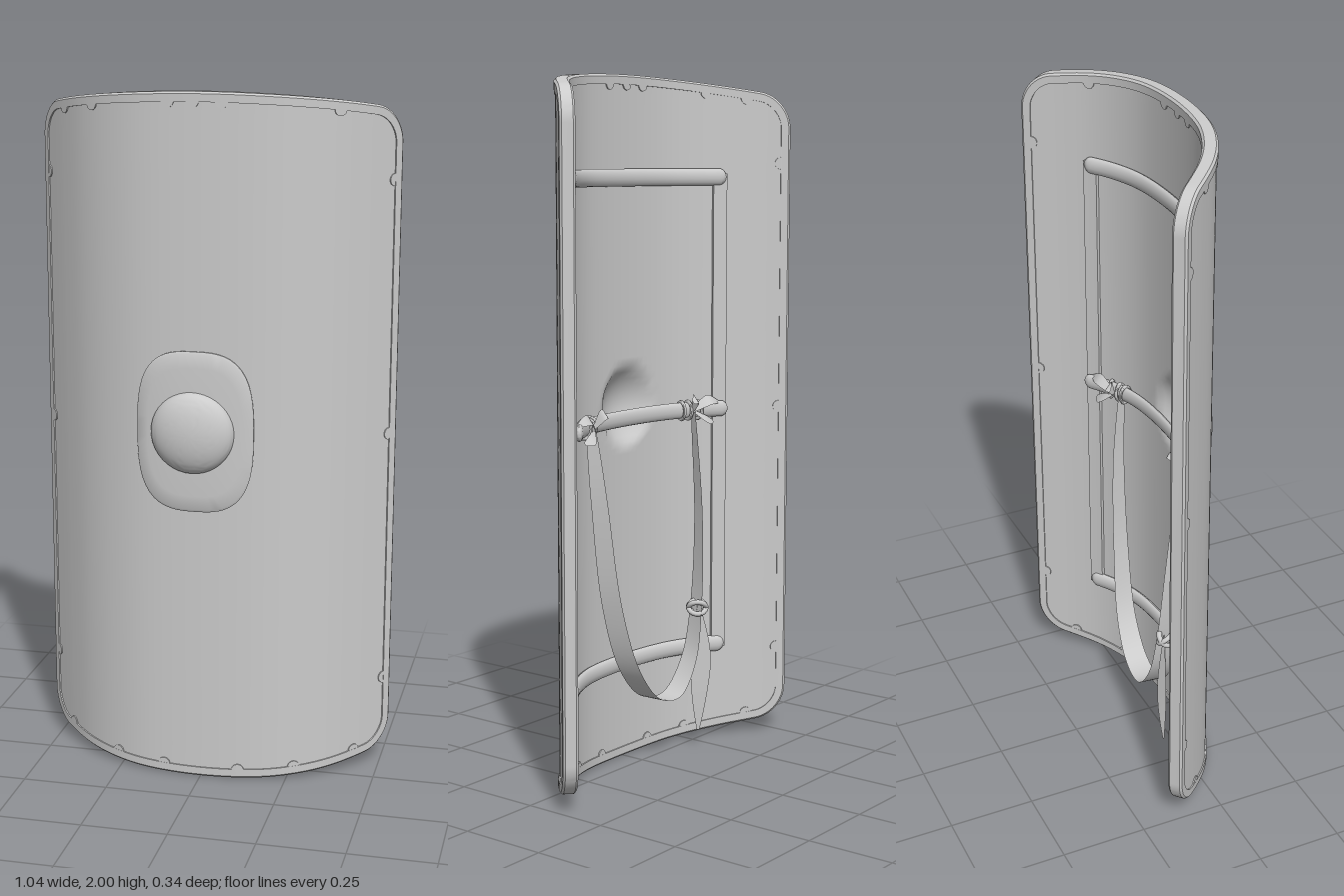
import * as THREE from 'three';
import { toCreasedNormals } from 'three/addons/utils/BufferGeometryUtils.js';

const V = (x, y, z) => new THREE.Vector3(x, y, z);

// Horizontal section of the curved board; s runs along it, d is the offset toward the front
const half = [[0.17, 0.076], [0.27, 0.043], [0.35, -0.003], [0.42, -0.063], [0.511, -0.158]];
const section = new THREE.CatmullRomCurve3([
  ...half.slice().reverse().map(([x, z]) => V(-x, 0, z)), V(0, 0, 0.09),
  ...half.map(([x, z]) => V(x, 0, z)),
]);
section.arcLengthDivisions = 400;
const S = section.getLength() / 2;

function bendPoint(s, y, d) {
  const t = THREE.MathUtils.clamp((s + S) / (2 * S), 0, 1);
  const p = section.getPointAt(t), g = section.getTangentAt(t);
  return V(p.x - g.z * d, y, p.z + g.x * d);
}

// Move every vertex by a rule
function warp(geo, rule) {
  const pos = geo.attributes.position;
  for (let i = 0; i < pos.count; i++) {
    const p = rule(pos.getX(i), pos.getY(i), pos.getZ(i));
    pos.setXYZ(i, p.x, p.y, p.z);
  }
  return geo;
}
const bend = (geo, crease = 0.7) => toCreasedNormals(warp(geo, bendPoint), crease);

// Half height of the outline at s: slightly bowed, with rounded corners
const R = 0.09;
function halfHeight(s) {
  const t = Math.min(1, Math.max(0, (Math.abs(s) - (S - R)) / R));
  return 1 - 0.04 * (s / 0.5) ** 2 - R * (1 - Math.sqrt(1 - t * t));
}

const BOSS = { s: -0.02, y: 1.05, r: 0.118 };

// Board, pushed out behind the boss
function boardGeometry() {
  const geo = new THREE.BoxGeometry(2, 2, 2, 96, 56, 1);
  return toCreasedNormals(warp(geo, (u, v, w) => {
    const s = Math.sin(u * Math.PI / 2) * (S - 0.012);
    const y = 1 + (0.4 * v + 0.6 * v ** 3) * (halfHeight(s) - 0.012);
    const q = ((s - BOSS.s) ** 2 + (y - BOSS.y) ** 2) / BOSS.r ** 2;
    return bendPoint(s, y, w * 0.017 + 0.05 * Math.max(0, 1 - q));
  }), 0.8);
}

// Rim: a bevelled section swept round the outline
function rimGeometry() {
  const n = 80, path = [];
  for (const side of [1, -1]) for (let i = 0; i <= n; i++) {
    const s = side * S * Math.cos(i / n * Math.PI);
    path.push([s, 1 + side * halfHeight(s)]);
  }
  const w = 0.028, h = 0.021, b = 0.006;
  const prof = [[w, -h], [w, h], [b, h], [0, h - b], [0, b - h], [b, -h]];
  const N = path.length, M = prof.length, pos = [], idx = [];
  path.forEach(([s, y], k) => {
    const a = path[(k + N - 1) % N], c = path[(k + 1) % N];
    const tx = c[0] - a[0], ty = c[1] - a[1], l = Math.hypot(tx, ty);
    prof.forEach(([inset, d], j) => {
      pos.push(...bendPoint(s - ty / l * inset, y + tx / l * inset, d));
      const j2 = (j + 1) % M, k2 = (k + 1) % N;
      idx.push(k * M + j, k * M + j2, k2 * M + j2, k * M + j, k2 * M + j2, k2 * M + j);
    });
  });
  const geo = new THREE.BufferGeometry();
  geo.setAttribute('position', new THREE.Float32BufferAttribute(pos, 3));
  geo.setIndex(idx);
  return toCreasedNormals(geo.toNonIndexed(), 0.5);
}

// Flat band along a path; width(t) gives the half-width vector
function ribbonGeometry(points, width, segs = 60) {
  const curve = new THREE.CatmullRomCurve3(points.map(p => V(...p)));
  const geo = warp(new THREE.PlaneGeometry(1, 2, segs, 2), (u, v) =>
    curve.getPoint(u + 0.5).addScaledVector(width(u + 0.5), v));
  geo.computeVertexNormals();
  return geo;
}

export function createModel() {
  const group = new THREE.Group();
  const mat = new THREE.MeshStandardMaterial({ color: 0xcccccc });
  const thin = new THREE.MeshStandardMaterial({ color: 0xcccccc, side: THREE.DoubleSide });
  const add = (name, geo, m = mat) => {
    const mesh = new THREE.Mesh(geo, m);
    mesh.name = name;
    group.add(mesh);
    return mesh;
  };

  add('board', boardGeometry());
  add('rim', rimGeometry());

  // Small scalloped tabs along the inner edge of the rim
  const tab = (s, y) => add('rimTab', bend(new THREE.CylinderGeometry(0.018, 0.018, 0.041, 14)
    .rotateX(Math.PI / 2).translate(s, y, 0)));
  for (const s of [-0.46, -0.33, -0.09, -0.02, 0.06, 0.38]) tab(s, 1 + halfHeight(s) - 0.026);
  for (const s of [-0.47, -0.26, -0.11, 0.11, 0.27, 0.46]) tab(s, 1 - halfHeight(s) + 0.026);
  for (const y of [0.27, 1.02, 1.75]) for (const m of [-1, 1]) tab(m * (S - 0.028), y);

  // Boss base: a thin rounded-square sheet following the curve
  const sheet = new THREE.LatheGeometry(
    [[1, 0.012], [1, 0.022], [0.97, 0.026], [0.8, 0.028], [0.6, 0.029], [0.4, 0.03], [0.2, 0.03], [0, 0.03]]
      .map(p => new THREE.Vector2(...p)), 64).rotateX(Math.PI / 2);
  warp(sheet, (x, y, d) => {
    const r = Math.hypot(x, y) || 1, c = x / r, n = y / r;
    const k = r / Math.pow(Math.abs(c) ** 3 + Math.abs(n) ** 3, 1 / 3);
    return V(-0.016 + 0.167 * c * k * (Math.hypot(x, y) ? 1 : 0),
      1.05 + 0.233 * n * k * (Math.hypot(x, y) ? 1 : 0), d);
  });
  add('bossBase', bend(sheet));

  // Boss dome
  const dome = [];
  for (let i = 0; i <= 16; i++) {
    const a = i / 16 * Math.PI / 2;
    dome.push(new THREE.Vector2(BOSS.r * Math.cos(a), 0.028 + 0.05 * Math.sin(a)));
  }
  add('bossDome', bend(new THREE.LatheGeometry(dome, 40).rotateX(Math.PI / 2)
    .translate(BOSS.s, BOSS.y, 0), 1));

  // Backing frame: two uprights and two crossbars
  for (const m of [-1, 1]) {
    add('frameUpright', bend(new THREE.BoxGeometry(0.045, 1.44, 0.014, 2, 1, 1)
      .translate(m * 0.375, 1, -0.022)));
    add('frameCrossbar', bend(new THREE.CapsuleGeometry(0.025, 0.74, 6, 14, 40)
      .rotateZ(Math.PI / 2).scale(1, 1, 0.5).translate(0, 1 + m * 0.71, -0.026)));
  }

  // Horizontal grip bar
  add('gripBar', bend(new THREE.CapsuleGeometry(0.024, 0.75, 6, 14, 40)
    .rotateZ(Math.PI / 2).scale(1, 1, 0.45).translate(0, 1.02, -0.042)));

  // Hanging strap
  add('strap', ribbonGeometry([
    [0.22, 1.02, 0.01], [0.205, 0.8, -0.008], [0.165, 0.5, -0.02], [0.1, 0.3, -0.033],
    [0.01, 0.2, -0.04], [-0.09, 0.19, -0.044], [-0.17, 0.28, -0.044], [-0.21, 0.43, -0.04],
    [-0.235, 0.7, -0.03], [-0.24, 1.02, -0.005],
  ], t => {
    const w = 0.012 + 0.024 * Math.sin(Math.PI * t) ** 0.6;
    return V(0.45 * Math.cos(Math.PI * t), 0, 1).setLength(w);
  }), thin);

  // Loose strap end below the knot
  add('strapTail', ribbonGeometry([
    [-0.21, 0.44, -0.05], [-0.215, 0.3, -0.06], [-0.21, 0.18, -0.055], [-0.21, 0.05, -0.05],
  ], t => V(0.6, 0, 0.8).setLength(0.004 + 0.024 * Math.sin(Math.PI * t)), 20), thin);

  // Knot joining the strap and its tail
  for (const tilt of [-0.5, 0.6]) {
    const knot = add('strapKnot', new THREE.TorusGeometry(0.026, 0.008, 8, 20));
    knot.position.set(-0.21, 0.43, -0.045);
    knot.rotation.set(Math.PI / 2 + tilt, tilt, 0);
  }

  // Ties fixing the strap to the grip bar
  for (const m of [-1, 1]) {
    for (const o of [0, 0.025, 0.06]) {
      add('gripTie', bend(new THREE.TorusGeometry(0.026, 0.006, 8, 20).rotateY(Math.PI / 2 + o * 5)
        .scale(1, 1, 0.75).translate(m * (0.23 + o), 1.02, -0.044), 1));
    }
    for (const [dx, dy] of [[0.1, 0.02], [0.07, -0.035], [-0.03, 0.03]]) {
      add('tieEnd', ribbonGeometry([
        [m * 0.23, 1.02, -0.01], [m * (0.23 + dx * 0.5), 1.03 + dy, -0.035], [m * (0.23 + dx), 1.02 + dy, -0.035],
      ], t => V(0, 1, 0.8).setLength(0.004 + 0.013 * Math.sin(Math.PI * t)), 12), thin);
    }
  }
  return group;
}
